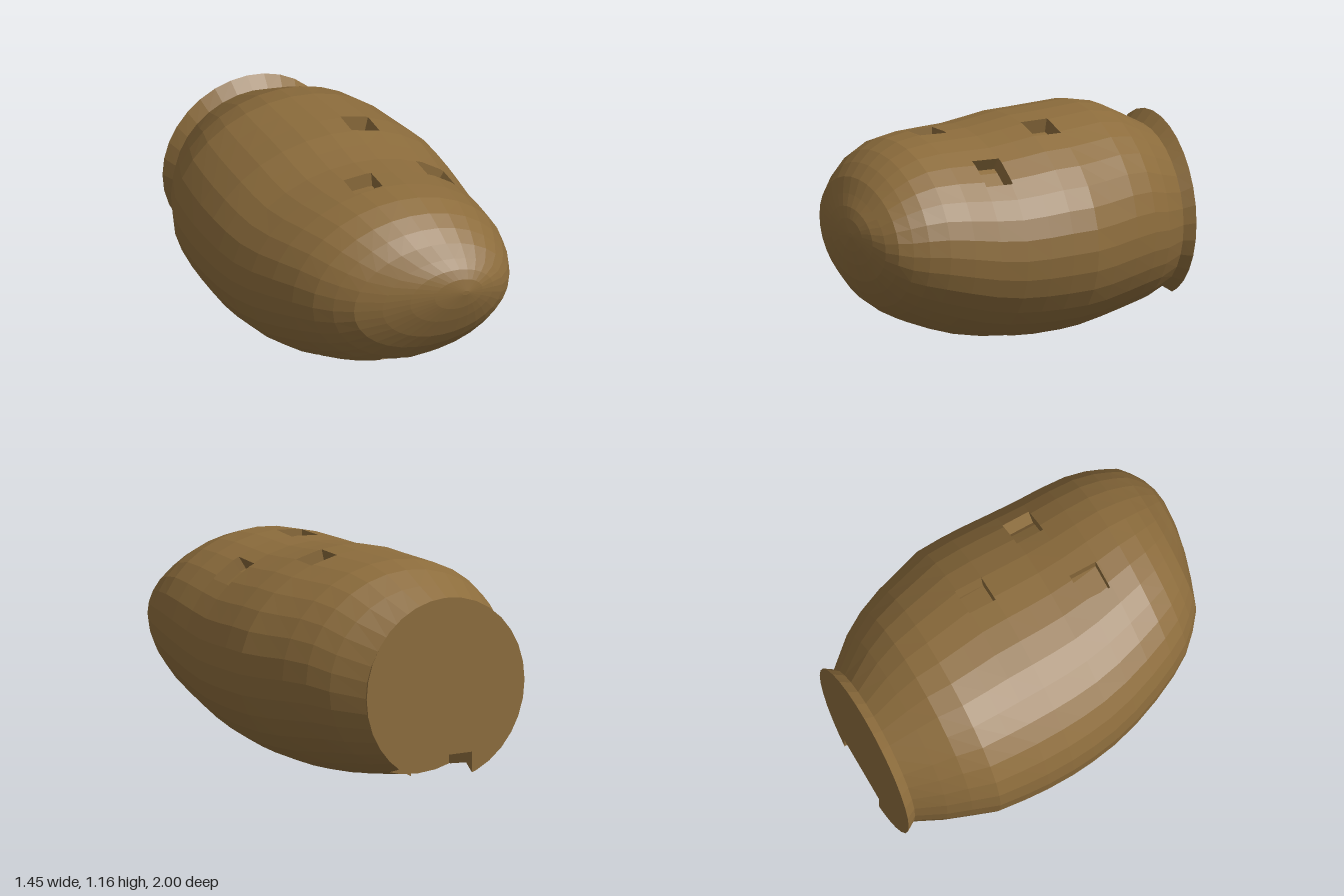
import * as THREE from 'three';

// Cross-sections from tail to nose: z, xMin, xMax, yMin, yMax
const SECTIONS = [
  [-1, -0.57, 0.39, 0.06, 1.04], [-0.94, -0.53, 0.36, 0.1, 0.98],
  [-0.79, -0.61, 0.49, 0.065, 1.065], [-0.67, -0.66, 0.56, 0.045, 1.13],
  [-0.53, -0.71, 0.62, 0.02, 1.16], [-0.38, -0.72, 0.67, 0.002, 1.16],
  [-0.25, -0.725, 0.712, 0, 1.16], [-0.1, -0.72, 0.72, 0, 1.16],
  [0.03, -0.705, 0.72, 0.01, 1.145], [0.17, -0.68, 0.715, 0.028, 1.132],
  [0.32, -0.64, 0.705, 0.062, 1.135], [0.47, -0.585, 0.698, 0.115, 1.14],
  [0.61, -0.52, 0.685, 0.175, 1.13], [0.72, -0.45, 0.66, 0.235, 1.09],
  [0.8, -0.37, 0.63, 0.295, 1.04], [0.87, -0.28, 0.595, 0.38, 0.98],
  [0.92, -0.14, 0.54, 0.46, 0.91], [0.96, 0, 0.47, 0.56, 0.86],
  [0.985, 0.13, 0.4, 0.64, 0.81], [1, 0.28, 0.32, 0.72, 0.745],
];
const SIDES = 32;

// Square pockets: x, z and side (1 = top, -1 = underside)
const POCKETS = [
  [0.2, -0.18, 1], [-0.02, 0.38, 1], [0.45, 0.24, 1],
  [0.22, 0.1, -1], [0.2, -0.175, -1], [0.03, -0.45, -1], [-0.25, -0.5, -1],
  [-0.3, -0.05, -1], [0.01, 0.67, -1], [-0.23, 0.4, -1],
];
const HALF = 0.078, DEPTH = 0.08;
const NOTCH = { x0: -0.25, x1: 0.12, z: -0.77, y: 0.2 };

// Part of a convex polygon where sign * (p[axis] - value) <= 0
function clip(poly, { axis, value, sign }) {
  const out = [];
  poly.forEach((a, i) => {
    const b = poly[(i + 1) % poly.length];
    const da = sign * (a[axis] - value), db = sign * (b[axis] - value);
    if (da <= 0) out.push(a);
    if (da * db < 0) out.push(a.clone().lerp(b, da / (da - db)));
  });
  return out.length > 2 ? out : [];
}

// Splits a polygon into the piece within all bounds and the pieces outside
function split(poly, bounds) {
  const outside = [];
  let inside = poly;
  for (const b of bounds) {
    if (!inside.length) break;
    const rest = clip(inside, { ...b, sign: -b.sign });
    if (rest.length) outside.push(rest);
    inside = clip(inside, b);
  }
  return { inside, outside };
}

const range = (axis, lo, hi) => [{ axis, value: lo, sign: -1 }, { axis, value: hi, sign: 1 }];

function polyNormal(poly) {
  const n = new THREE.Vector3();
  for (let i = 1; i < poly.length - 1; i++) {
    n.add(poly[i].clone().sub(poly[0]).cross(poly[i + 1].clone().sub(poly[0])));
  }
  return n;
}

// Cuts an opening out of the skin; returns the remaining skin and the removed pieces
function cut(skin, bounds, side) {
  const rest = [], removed = [];
  for (const poly of skin) {
    if (polyNormal(poly).y * side <= 0) { rest.push(poly); continue; }
    const { inside, outside } = split(poly, bounds);
    if (!inside.length) { rest.push(poly); continue; }
    rest.push(...outside);
    removed.push(inside);
  }
  return { rest, removed };
}

// Floor and side walls of a recess below the removed skin pieces
function recess(removed, bounds, sink) {
  const faces = [];
  for (const poly of removed) {
    faces.push(poly.map(sink));
    poly.forEach((a, i) => {
      const b = poly[(i + 1) % poly.length];
      const onRim = bounds.some(({ axis, value }) =>
        Math.abs(a[axis] - value) < 1e-6 && Math.abs(b[axis] - value) < 1e-6);
      if (onRim) faces.push([a, b, sink(b), sink(a)]);
    });
  }
  return faces;
}

function toMesh(name, polys, material) {
  const points = [];
  for (const p of polys) {
    for (let i = 1; i < p.length - 1; i++) points.push(p[0], p[i], p[i + 1]);
  }
  const geometry = new THREE.BufferGeometry().setFromPoints(points);
  geometry.computeVertexNormals();
  const mesh = new THREE.Mesh(geometry, material);
  mesh.name = name;
  return mesh;
}

export function createModel() {
  const group = new THREE.Group();
  group.name = 'pittedBody';
  const material = new THREE.MeshStandardMaterial({ color: 0x8c6c3c, flatShading: true });

  // Lofted skin
  const rings = SECTIONS.map(([z, x0, x1, y0, y1]) =>
    Array.from({ length: SIDES }, (_, j) => {
      const a = (j / SIDES) * Math.PI * 2;
      return new THREE.Vector3(
        (x0 + x1) / 2 + ((x1 - x0) / 2) * Math.cos(a),
        (y0 + y1) / 2 + ((y1 - y0) / 2) * Math.sin(a), z);
    }));
  let skin = [];
  for (let i = 0; i < rings.length - 1; i++) {
    for (let j = 0; j < SIDES; j++) {
      const k = (j + 1) % SIDES;
      skin.push([rings[i][j], rings[i][k], rings[i + 1][k], rings[i + 1][j]]);
    }
  }
  skin.push(rings[rings.length - 1]);

  // Square pockets sunk along the local surface normal
  POCKETS.forEach(([x, z, side], i) => {
    const bounds = [...range('x', x - HALF, x + HALF), ...range('z', z - HALF, z + HALF)];
    const { rest, removed } = cut(skin, bounds, side);
    skin = rest;
    const shift = new THREE.Vector3();
    removed.forEach((p) => shift.add(polyNormal(p)));
    shift.setLength(-DEPTH).normalize().multiplyScalar(DEPTH);
    const faces = recess(removed, bounds, (p) => p.clone().add(shift));
    group.add(toMesh(`${side > 0 ? 'top' : 'bottom'}Pocket${i + 1}`, faces, material));
  });

  // Notch under the tail, open to the back
  const across = range('x', NOTCH.x0, NOTCH.x1);
  const bounds = [...across, { axis: 'z', value: NOTCH.z, sign: 1 }];
  const { rest, removed } = cut(skin, bounds, -1);
  const roof = (p) => new THREE.Vector3(p.x, NOTCH.y, p.z);
  group.add(toMesh('tailNotch', recess(removed, bounds, roof), material));
  group.add(toMesh('body', rest, material));

  // Flat tail face with the notch taken out
  const tail = split([...rings[0]].reverse(), [...across, { axis: 'y', value: NOTCH.y, sign: 1 }]);
  group.add(toMesh('tailFace', tail.outside, material));
  return group;
}
